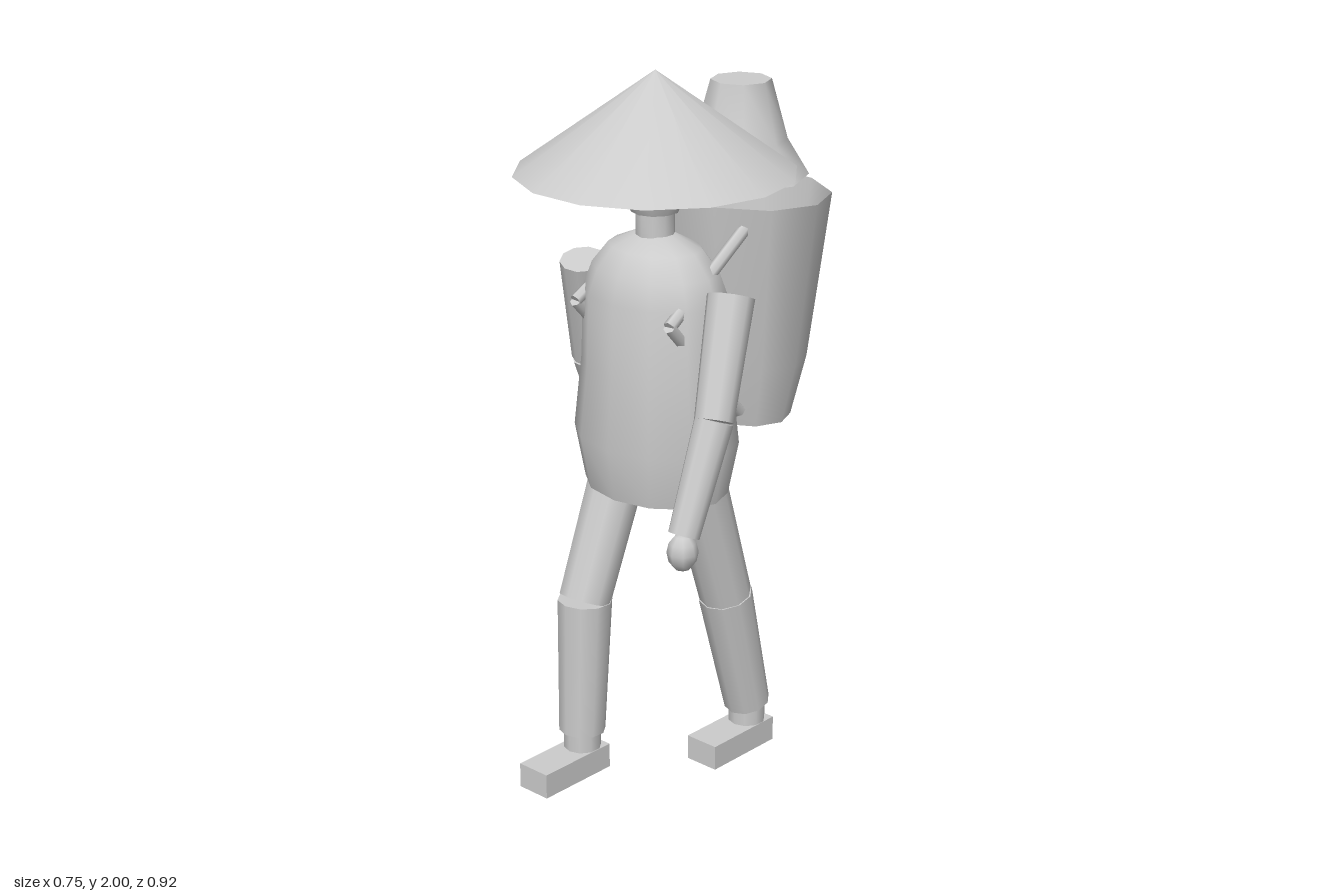
import * as THREE from 'three';
import { toCreasedNormals } from 'three/addons/utils/BufferGeometryUtils.js';

const material = new THREE.MeshStandardMaterial({ color: 0xcccccc });
const openMaterial = new THREE.MeshStandardMaterial({ color: 0xcccccc, side: THREE.DoubleSide });

export function createModel() {
  const model = new THREE.Group();
  model.name = 'walkingPorter';

  function add(name, geometry, mat = material) {
    const mesh = new THREE.Mesh(geometry, mat);
    mesh.name = name;
    model.add(mesh);
    return mesh;
  }

  // Turned part: profile runs bottom to top as [radius, y]
  function turned(name, profile, sides, z, { depth = 1, halfTurn = false, mat = material } = {}) {
    const geometry = new THREE.LatheGeometry(profile.map(([r, y]) => new THREE.Vector2(r, y)), sides);
    if (halfTurn) geometry.rotateY(Math.PI / sides);
    geometry.scale(1, 1, depth);
    const mesh = add(name, toCreasedNormals(geometry, 0.9), mat);
    mesh.position.z = z;
    return mesh;
  }

  // Tapered cylinder from point a to point b
  function limb(name, a, b, ra, rb, sides = 10) {
    const from = new THREE.Vector3(...a), to = new THREE.Vector3(...b);
    const dir = to.clone().sub(from);
    const geometry = new THREE.CylinderGeometry(rb, ra, dir.length(), sides);
    const mesh = add(name, geometry);
    mesh.position.copy(from).add(to).multiplyScalar(0.5);
    mesh.quaternion.setFromUnitVectors(new THREE.Vector3(0, 1, 0), dir.normalize());
    return mesh;
  }

  // Hat, head, neck and tunic
  turned('conicalHat', [[0, 1.73], [0.377, 1.73], [0, 2]], 14, 0.083, { halfTurn: true });
  turned('head', [[0, 1.62], [0.065, 1.625], [0.09, 1.68], [0.1, 1.73], [0.09, 1.79], [0, 1.84]], 10, 0.085);
  turned('neck', [[0.053, 1.53], [0.053, 1.64]], 10, 0.085);
  turned('tunic', [
    [0, 0.85], [0.218, 0.85], [0.25, 1.0], [0.226, 1.2], [0.218, 1.4],
    [0.19, 1.47], [0.14, 1.53], [0.06, 1.565], [0, 1.565],
  ], 12, 0.085, { depth: 0.76 });

  // Basket with a bundle standing in it
  turned('basket', [[0, 0.975], [0.16, 0.975], [0.206, 1.15], [0.272, 1.62]], 10, -0.255,
    { depth: 0.79, halfTurn: true, mat: openMaterial });
  turned('bundle', [[0, 1.62], [0.188, 1.655], [0.128, 1.755], [0.083, 1.92], [0, 1.92]], 8, -0.255);

  // Carrying straps over the shoulders
  for (const side of [-1, 1]) {
    limb('upperStrap', [side * 0.145, 1.56, -0.105], [side * 0.17, 1.37, 0.215], 0.018, 0.018, 6);
    limb('lowerStrap', [side * 0.17, 1.37, 0.215], [side * 0.165, 1.06, -0.07], 0.018, 0.018, 6);
  }

  // Swinging arms: shoulder, elbow, wrist
  const arms = [
    ['left', [0.267, 1.445, 0.085], [0.323, 1.15, 0.212], [0.33, 0.87, 0.335], 0.34],
    ['right', [-0.27, 1.435, 0.085], [-0.318, 1.13, 0.01], [-0.33, 0.865, -0.092], -0.095],
  ];
  for (const [side, shoulder, elbow, wrist, handZ] of arms) {
    limb(side + 'UpperArm', shoulder, elbow, 0.064, 0.053);
    limb(side + 'Forearm', elbow, wrist, 0.053, 0.043);
    const hand = add(side + 'Hand', new THREE.SphereGeometry(0.042, 8, 6));
    hand.scale.y = 1.25;
    hand.position.set(wrist[0], 0.825, handZ);
  }

  // Striding legs: hip, knee, ankle, then a block shoe
  const legs = [
    ['left', [0.112, 0.92, 0.055], [0.115, 0.5, -0.075], [0.115, 0.13, -0.172], -0.103],
    ['right', [-0.12, 0.92, 0.085], [-0.12, 0.52, 0.247], [-0.12, 0.125, 0.265], 0.335],
  ];
  for (const [side, hip, knee, ankle, shoeZ] of legs) {
    limb(side + 'Thigh', hip, knee, 0.08, 0.074);
    limb(side + 'Shin', knee, ankle, 0.077, 0.066);
    limb(side + 'Ankle', ankle, [ankle[0], 0.05, ankle[2]], 0.053, 0.053);
    const shoe = add(side + 'Shoe', new THREE.BoxGeometry(0.104, 0.072, 0.252));
    shoe.position.set(ankle[0], 0.036, shoeZ);
  }

  return model;
}
